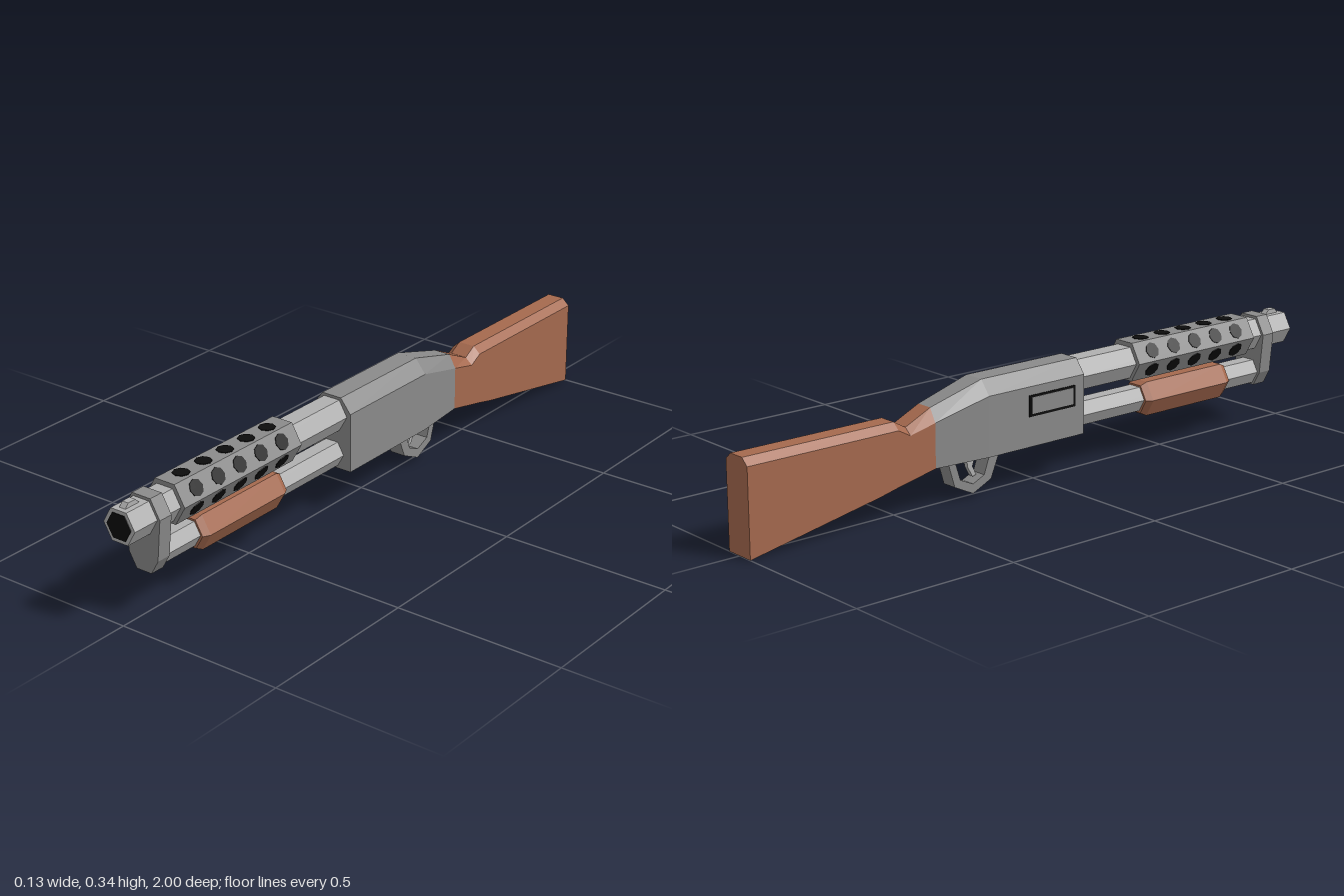
import * as THREE from 'three';

const mat = (name, color) => {
  const m = new THREE.MeshStandardMaterial({ color, flatShading: true });
  m.name = name;
  return m;
};

// Hexagon with flat top and bottom, counter-clockwise seen from the front
const hex = (r, cy) => Array.from({ length: 6 }, (_, i) => {
  const a = i * Math.PI / 3;
  return [r * Math.cos(a), cy + r * Math.sin(a)];
});

// Slab section: straight sides, chamfered top
const slab = (w, bottom, shoulder, topW, top) =>
  [[-w, bottom], [w, bottom], [w, shoulder], [topW, top], [-topW, top], [-w, shoulder]];

// Joins [z, ring] sections, listed front to back, into a closed faceted solid
function loft(sections) {
  const pos = [];
  const tri = (...p) => p.forEach(v => pos.push(...v));
  const rings = sections.map(([z, ring]) => ring.map(([x, y]) => [x, y, z]));
  const n = rings[0].length;
  for (let i = 0; i < rings.length - 1; i++) {
    for (let j = 0; j < n; j++) {
      const k = (j + 1) % n;
      const a = rings[i][j], b = rings[i][k], c = rings[i + 1][k], d = rings[i + 1][j];
      tri(a, d, c);
      tri(a, c, b);
    }
  }
  const front = rings[0], back = rings[rings.length - 1];
  for (let j = 1; j < n - 1; j++) {
    tri(front[0], front[j], front[j + 1]);
    tri(back[0], back[j + 1], back[j]);
  }
  const g = new THREE.BufferGeometry();
  g.setAttribute('position', new THREE.Float32BufferAttribute(pos, 3));
  g.computeVertexNormals();
  return g;
}

// Extrudes a side profile of [z, y] points across x, centred
function sideExtrude(points, width, hole) {
  const toV = ([z, y]) => new THREE.Vector2(-z, y);
  const shape = new THREE.Shape(points.map(toV));
  if (hole) shape.holes.push(new THREE.Path(hole.map(toV)));
  const g = new THREE.ExtrudeGeometry(shape, { depth: width, bevelEnabled: false });
  g.translate(0, 0, -width / 2);
  g.rotateY(Math.PI / 2);
  return g;
}

export function createModel() {
  const group = new THREE.Group();
  group.name = 'pumpShotgun';
  const steel = mat('lightSteel', 0xb0b0b0);
  const grey = mat('gunGrey', 0x8a8a8a);
  const wood = mat('wood', 0xa5694e);
  const black = mat('black', 0x0c0c0c);

  const add = (name, geometry, material, parent = group) => {
    const m = new THREE.Mesh(geometry, material);
    m.name = name;
    parent.add(m);
    return m;
  };
  const box = (w, h, d, x, y, z) => new THREE.BoxGeometry(w, h, d).translate(x, y, z);

  // Barrel, bore and magazine tube
  const barrelY = 0.284, tubeY = 0.165;
  add('barrel', loft([[0.998, hex(0.053, barrelY)], [0.12, hex(0.053, barrelY)]]), steel);
  add('bore', loft([[1, hex(0.041, barrelY)], [0.996, hex(0.041, barrelY)]]), black);
  add('magazineTube', loft([[0.9, hex(0.041, tubeY)], [0.12, hex(0.041, tubeY)]]), steel);

  // Front sight
  add('frontSight', sideExtrude([[0.985, 0.328], [0.972, 0.343], [0.945, 0.343], [0.93, 0.328]], 0.02), steel);

  // Clamp tying barrel and tube together
  const clamp = [[-0.025, 0.123], [0.025, 0.123], [0.049, 0.165], [0.061, 0.285],
    [0.031, 0.338], [-0.031, 0.338], [-0.061, 0.285], [-0.049, 0.165]];
  add('barrelClamp', loft([[0.914, clamp], [0.87, clamp]]), grey);

  // Heat shield with rows of vent holes on each face
  const shield = new THREE.Group();
  shield.name = 'heatShield';
  group.add(shield);
  const shieldY = 0.286, shieldR = 0.066, apothem = shieldR * Math.cos(Math.PI / 6);
  add('shieldBody', loft([[0.825, hex(shieldR, shieldY)], [0.35, hex(shieldR, shieldY)]]), grey, shield);
  for (let f = 0; f < 6; f++) {
    const a = Math.PI / 6 + f * Math.PI / 3;
    for (let i = 0; i < 5; i++) {
      const vent = add('ventHole', new THREE.CylinderGeometry(0.024, 0.024, 0.004, 8), black, shield);
      vent.position.set(apothem * Math.cos(a), shieldY + apothem * Math.sin(a), 0.761 - i * 0.0865);
      vent.rotation.z = a - Math.PI / 2;
    }
  }

  // Sliding fore-end with chamfered ends
  add('foreEnd', loft([
    [0.74, hex(0.048, 0.164)], [0.72, hex(0.059, 0.164)],
    [0.415, hex(0.059, 0.164)], [0.395, hex(0.048, 0.164)],
  ]), wood);

  // Receiver
  add('receiver', loft([
    [0.135, slab(0.065, 0.121, 0.296, 0.032, 0.338)],
    [-0.215, slab(0.065, 0.121, 0.296, 0.032, 0.338)],
    [-0.39, slab(0.048, 0.121, 0.25, 0.026, 0.289)],
  ]), grey);

  // Ejection port on the right side
  add('portRecess', box(0.004, 0.062, 0.17, -0.0655, 0.24, 0.015), black);
  add('bolt', box(0.004, 0.048, 0.154, -0.067, 0.241, 0.015), grey);

  // Stock
  add('stock', loft([
    [-0.39, slab(0.048, 0.121, 0.25, 0.026, 0.289)],
    [-0.475, slab(0.048, 0.103, 0.231, 0.026, 0.25)],
    [-0.515, slab(0.048, 0.095, 0.253, 0.026, 0.273)],
    [-0.58, slab(0.048, 0.08, 0.253, 0.026, 0.273)],
    [-1, slab(0.048, 0.001, 0.253, 0.026, 0.273)],
  ]), wood);

  // Trigger guard and trigger
  add('triggerGuard', sideExtrude(
    [[-0.14, 0.125], [-0.175, 0.042], [-0.24, 0.012], [-0.305, 0.043], [-0.33, 0.125]], 0.048,
    [[-0.18, 0.112], [-0.2, 0.058], [-0.24, 0.04], [-0.285, 0.06], [-0.302, 0.112]]), grey);
  add('trigger', sideExtrude(
    [[-0.215, 0.122], [-0.228, 0.085], [-0.215, 0.058], [-0.228, 0.055], [-0.245, 0.085], [-0.25, 0.122]],
    0.014), steel);

  return group;
}
